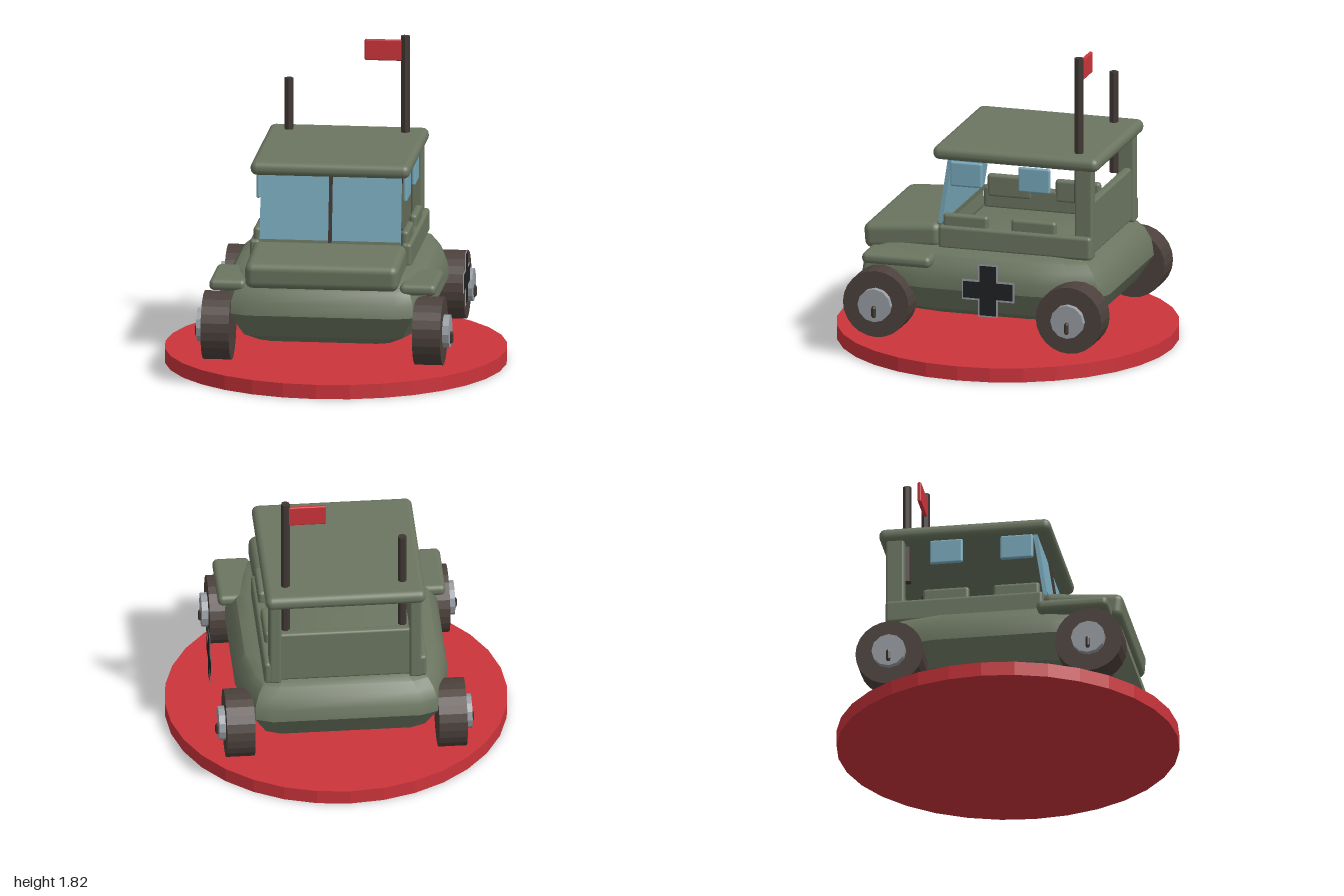
import * as THREE from 'three';
import { toCreasedNormals } from 'three/addons/utils/BufferGeometryUtils.js';
import { RoundedBoxGeometry } from 'three/addons/geometries/RoundedBoxGeometry.js';

const mat = (name, color, extra = {}) => {
  const m = new THREE.MeshStandardMaterial({ color, ...extra });
  m.name = name;
  return m;
};

// Hull built from chamfered outlines stacked upwards: [y, half width, half length]
function hullGeometry() {
  const levels = [
    [0.24, 0.44, 0.58], [0.29, 0.54, 0.67], [0.43, 0.62, 0.755],
    [0.5, 0.62, 0.745], [0.57, 0.595, 0.71], [0.615, 0.56, 0.67], [0.64, 0.5, 0.61],
  ];
  const quarter = [[1, 0], [1, 0.45], [0.93, 0.76], [0.86, 0.95], [0.7, 1]];
  const flip = (sx, sz, list) => list.map(([x, z]) => [x * sx, z * sz]);
  const reversed = [...quarter].reverse();
  const outline = [
    ...quarter, ...flip(-1, 1, reversed),
    ...flip(-1, -1, quarter.slice(1)), ...flip(1, -1, reversed.slice(0, -1)),
  ];
  const n = outline.length, pos = [], index = [];
  for (const [y, w, l] of levels) for (const [x, z] of outline) pos.push(x * w, y, z * l);
  for (let r = 0; r < levels.length - 1; r++) {
    for (let i = 0; i < n; i++) {
      const a = r * n + i, b = r * n + (i + 1) % n;
      index.push(a, a + n, b, b, a + n, b + n);
    }
  }
  const bottom = pos.length / 3, top = bottom + 1, last = (levels.length - 1) * n;
  pos.push(0, levels[0][0], 0, 0, levels[levels.length - 1][0], 0);
  for (let i = 0; i < n; i++) {
    const j = (i + 1) % n;
    index.push(bottom, i, j, top, last + j, last + i);
  }
  const g = new THREE.BufferGeometry();
  g.setAttribute('position', new THREE.Float32BufferAttribute(pos, 3));
  g.setIndex(index);
  return toCreasedNormals(g, 0.5);
}

// Plus-shaped plate outline
function plusShape(half, arm) {
  const s = new THREE.Shape();
  s.moveTo(arm, arm);
  [[arm, half], [-arm, half], [-arm, arm], [-half, arm], [-half, -arm], [-arm, -arm],
    [-arm, -half], [arm, -half], [arm, -arm], [half, -arm], [half, arm]].forEach(([x, y]) => s.lineTo(x, y));
  return new THREE.ShapeGeometry(s);
}

export function createModel() {
  const model = new THREE.Group();
  model.name = 'jeep';
  const green = mat('olive green', 0x6b7560);
  const red = mat('red', 0xcb343b, { flatShading: true });
  const glass = mat('blue glass', 0x78a9bb);
  const tyre = mat('dark brown tyre', 0x4c413c, { flatShading: true });
  const dark = mat('dark pole', 0x403733, { flatShading: true });
  const steel = mat('grey hub', 0x989ea3, { flatShading: true });
  const black = mat('black', 0x202223);

  const add = (name, geo, material, x = 0, y = 0, z = 0, parent = model) => {
    const m = new THREE.Mesh(geo, material);
    m.name = name;
    m.position.set(x, y, z);
    parent.add(m);
    return m;
  };
  const box = (name, w, h, d, r, material, x, y, z) =>
    add(name, new RoundedBoxGeometry(w, h, d, 3, r), material, x, y, z);

  // Round base
  add('base', new THREE.CylinderGeometry(1, 1, 0.085, 32), red, 0, 0.0425, 0);

  // Body, hood and roof
  add('hull', hullGeometry(), green);
  box('hood', 0.9, 0.155, 0.47, 0.045, green, 0, 0.677, 0.51).rotation.x = 0.08;
  box('roof', 0.935, 0.082, 1.01, 0.038, green, 0, 1.203, -0.185);
  box('rearPanel', 0.84, 0.32, 0.05, 0.015, green, 0, 0.8, -0.61);

  // Tilted windscreen
  const screen = new THREE.Group();
  screen.name = 'windscreen';
  screen.position.set(0, 0.97, 0.255);
  screen.rotation.x = -0.15;
  model.add(screen);
  add('windscreenGlass', new THREE.BoxGeometry(0.825, 0.41, 0.025), glass, 0, 0, 0, screen);
  add('windscreenDivider', new THREE.BoxGeometry(0.02, 0.41, 0.03), dark, 0, 0, 0.012, screen);
  add('windscreenSill', new THREE.BoxGeometry(0.825, 0.035, 0.035), green, 0, -0.21, 0, screen);

  // Parts on both sides
  for (const s of [1, -1]) {
    box('frontFender', 0.215, 0.068, 0.42, 0.03, green, s * 0.558, 0.59, 0.48);
    box('sideWall', 0.06, 0.14, 0.93, 0.02, green, s * 0.445, 0.7, -0.185);
    box('rearPost', 0.07, 0.55, 0.11, 0.015, green, s * 0.41, 0.905, -0.597);
    for (const [z, wz] of [[0.12, 0.12], [-0.295, -0.295]]) {
      box('armrest', 0.045, 0.14, 0.275, 0.02, green, s * 0.433, 0.77, z);
      box('sideWindow', 0.025, 0.15, 0.195, 0.012, glass, s * 0.43, 1.08, wz);
    }
    // Wheels with hub cap and pin
    for (const z of [0.588, -0.588]) {
      const wheel = new THREE.Group();
      wheel.name = 'wheel';
      wheel.position.set(s * 0.62, 0.33, z);
      model.add(wheel);
      add('tyre', new THREE.CylinderGeometry(0.2, 0.2, 0.165, 24), tyre, 0, 0, 0, wheel).rotation.z = Math.PI / 2;
      add('hub', new THREE.CylinderGeometry(0.1, 0.1, 0.04, 12), steel, s * 0.1, 0, 0, wheel).rotation.z = Math.PI / 2;
      add('hubPin', new THREE.CapsuleGeometry(0.015, 0.045, 2, 6), dark, s * 0.122, -0.037, 0, wheel);
    }
  }

  // Antenna and flag
  const pole = (name, x, bottom, top) =>
    add(name, new THREE.CylinderGeometry(0.026, 0.026, top - bottom, 7), dark, x, (top + bottom) / 2, -0.54);
  pole('antenna', -0.34, 0.94, 1.55);
  pole('flagPole', 0.343, 0.94, 1.82);
  box('flag', 0.23, 0.125, 0.022, 0.008, red, 0.22, 1.732, -0.54);

  // Cross plate beside the left flank
  const cross = new THREE.Group();
  cross.name = 'crossPlate';
  cross.position.set(0.75, 0.483, -0.112);
  cross.rotation.y = Math.PI / 2;
  model.add(cross);
  add('crossBorder', plusShape(0.16, 0.062), steel, 0, 0, 0, cross);
  add('crossFace', plusShape(0.15, 0.05), black, 0, 0, 0.004, cross);

  return model;
}
